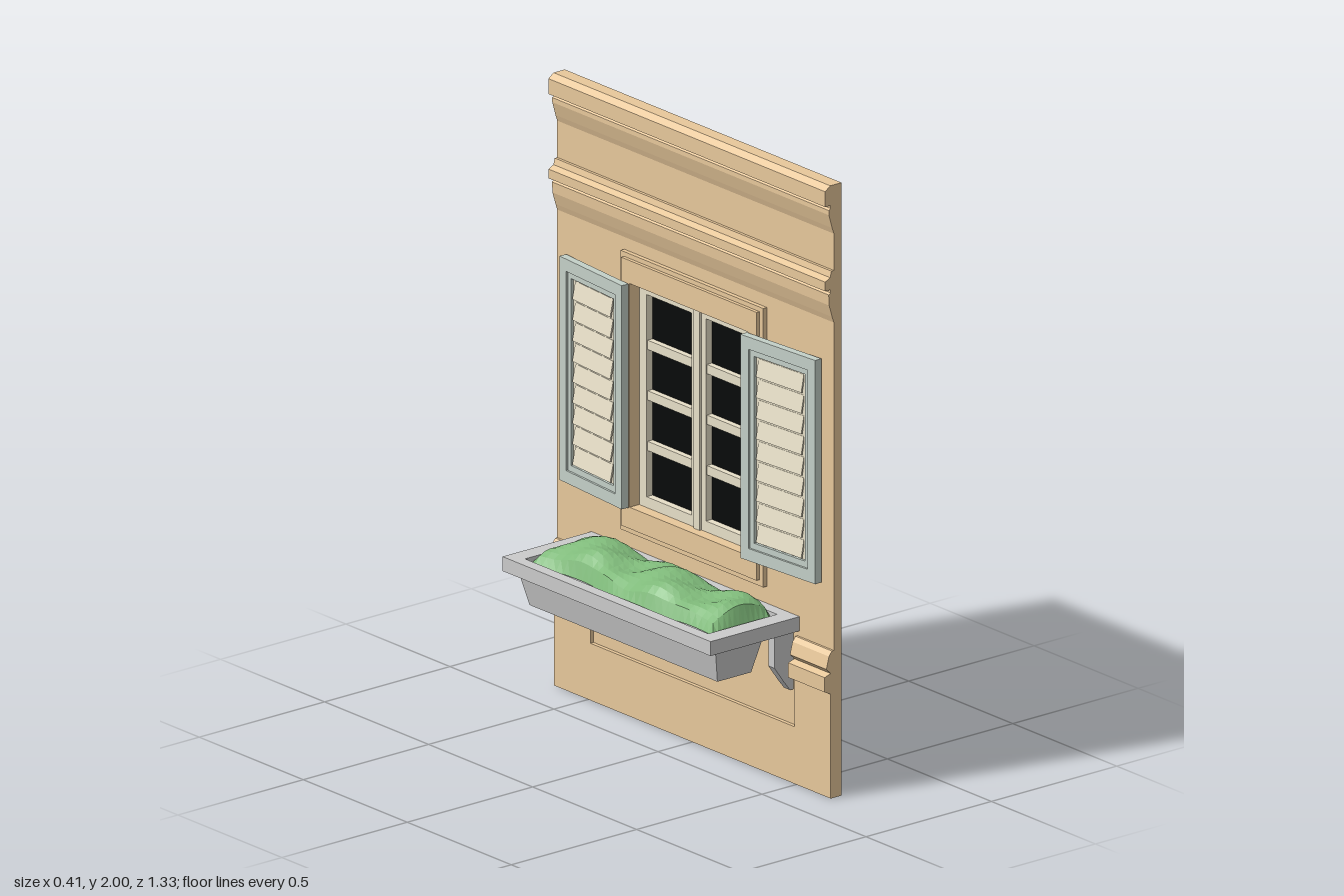
import * as THREE from 'three';

const mat = (color, extra = {}) => {
  const m = new THREE.MeshStandardMaterial(extra);
  m.color.set(color);
  return m;
};
const plaster = mat(0xe8c89b);
const stone = mat(0xcccccc);
const cream = mat(0xe8e0c8);
const paint = mat(0xc4d0c8);
const dark = mat(0x080a0a);
const leaf = mat(0x7fba7a, { side: THREE.DoubleSide, flatShading: true });

function add(parent, name, geometry, material) {
  const mesh = new THREE.Mesh(geometry, material);
  mesh.name = name;
  parent.add(mesh);
  return mesh;
}

// Box given by its limits on each axis
function box(parent, name, material, x0, x1, y0, y1, z0, z1) {
  const g = new THREE.BoxGeometry(x1 - x0, y1 - y0, z1 - z0);
  g.translate((x0 + x1) / 2, (y0 + y1) / 2, (z0 + z1) / 2);
  return add(parent, name, g, material);
}

// x-y outline run along z
function molding(parent, name, material, points, z0, z1) {
  const shape = new THREE.Shape(points.map(([x, y]) => new THREE.Vector2(x, y)));
  const g = new THREE.ExtrudeGeometry(shape, { depth: z1 - z0, bevelEnabled: false });
  g.translate(0, 0, z0);
  return add(parent, name, g, material);
}

function rect(Type, w, y0, y1) {
  const s = new Type();
  s.moveTo(-w, y0);
  s.lineTo(w, y0);
  s.lineTo(w, y1);
  s.lineTo(-w, y1);
  s.closePath();
  return s;
}

// Upright rectangular ring: outer and inner = [half width, bottom, top], thickness along x
function ring(parent, name, material, outer, inner, x0, x1) {
  const shape = rect(THREE.Shape, ...outer);
  shape.holes.push(rect(THREE.Path, ...inner));
  const g = new THREE.ExtrudeGeometry(shape, { depth: x1 - x0, bevelEnabled: false });
  g.rotateY(Math.PI / 2);
  g.translate(x0, 0, 0);
  return add(parent, name, g, material);
}

function makeWall(root) {
  const W = 0.665;
  ring(root, 'wall', plaster, [W, 0, 2], [0.32, 0.64, 1.46], 0.15, 0.18);
  molding(root, 'cornice', plaster, [[0.15, 1.84], [0.143, 1.86], [0.13, 1.905], [0.13, 1.92],
    [0.137, 1.925], [0.137, 1.935], [0.115, 1.935], [0.115, 1.985], [0.135, 2], [0.15, 2]], -W, W);
  molding(root, 'stringCourse', plaster, [[0.15, 1.55], [0.143, 1.57], [0.131, 1.61], [0.129, 1.645],
    [0.137, 1.65], [0.137, 1.66], [0.115, 1.66], [0.115, 1.69], [0.135, 1.7], [0.14, 1.72], [0.15, 1.72]], -W, W);
  // Plinth and its ledge stop either side of a shallow recess
  box(root, 'plinth', plaster, 0.137, 0.15, 0, 0.186, -W, W);
  const ledge = [[0.15, 0.186], [0.137, 0.186], [0.137, 0.34], [0.113, 0.352], [0.113, 0.4],
    [0.137, 0.408], [0.12, 0.425], [0.13, 0.465], [0.142, 0.48], [0.15, 0.48]];
  molding(root, 'plinthLedgeRight', plaster, ledge, -W, -0.49);
  molding(root, 'plinthLedgeLeft', plaster, ledge, 0.49, W);
}

function makeWindow(root) {
  const g = new THREE.Group();
  g.name = 'window';
  root.add(g);
  ring(g, 'surround', plaster, [0.343, 0.6, 1.51], [0.285, 0.69, 1.42], 0.135, 0.19);
  ring(g, 'surroundBead', plaster, [0.325, 0.62, 1.495], [0.285, 0.69, 1.42], 0.123, 0.135);
  box(g, 'backPanel', plaster, 0.19, 0.2, 0.6, 1.51, -0.343, 0.343);
  box(g, 'glass', dark, 0.186, 0.189, 0.69, 1.42, -0.285, 0.285);
  ring(g, 'sashFrame', cream, [0.285, 0.69, 1.42], [0.25, 0.725, 1.385], 0.162, 0.186);
  box(g, 'mullion', cream, 0.162, 0.186, 0.725, 1.385, -0.035, 0.035);
  box(g, 'mullionCover', cream, 0.154, 0.162, 0.69, 1.42, -0.014, 0.014);
  for (let i = 1; i < 4; i++) {
    const y = 0.725 + i * 0.165;
    for (const s of [-1, 1]) {
      box(g, 'glazingBar', cream, 0.166, 0.186, y - 0.015, y + 0.015, s * 0.1425 - 0.1075, s * 0.1425 + 0.1075);
    }
  }
}

// Louvred shutter opened back almost flat to the wall
function makeShutter(root, side) {
  const hinge = new THREE.Group();
  hinge.name = side > 0 ? 'leftShutter' : 'rightShutter';
  hinge.position.set(0.105, 0, side * 0.285);
  hinge.rotation.y = side * 0.075;
  root.add(hinge);
  const leaf = new THREE.Group();
  leaf.name = 'shutterLeaf';
  leaf.position.z = side * 0.165;
  hinge.add(leaf);
  ring(leaf, 'shutterFrame', paint, [0.165, 0.69, 1.42], [0.13, 0.73, 1.38], -0.013, 0.013);
  ring(leaf, 'shutterBead', paint, [0.13, 0.73, 1.38], [0.112, 0.75, 1.36], -0.006, 0.009);
  box(leaf, 'shutterPanel', cream, 0.003, 0.007, 0.75, 1.36, -0.112, 0.112);
  for (let i = 0; i < 9; i++) {
    const slat = add(leaf, 'slat', new THREE.BoxGeometry(0.005, 0.058, 0.2), cream);
    slat.position.set(-0.002, 0.785 + i * 0.0675, 0);
    slat.rotation.z = -0.2;
  }
}

function makePlanter(root) {
  const g = new THREE.Group();
  g.name = 'flowerBox';
  root.add(g);
  // Rim around the planting bed
  box(g, 'rimFront', stone, -0.205, -0.165, 0.498, 0.545, -0.5, 0.5);
  box(g, 'rimBack', stone, 0.11, 0.15, 0.498, 0.545, -0.5, 0.5);
  box(g, 'rimEnd', stone, -0.165, 0.11, 0.498, 0.545, -0.5, -0.44);
  box(g, 'rimEnd', stone, -0.165, 0.11, 0.498, 0.545, 0.44, 0.5);
  box(g, 'bedFloor', stone, -0.165, 0.11, 0.498, 0.525, -0.44, 0.44);

  // Trough tapering downward
  const trough = new THREE.BoxGeometry(0.19, 0.115, 0.95);
  const p = trough.attributes.position;
  for (let i = 0; i < p.count; i++) {
    if (p.getY(i) < 0) {
      p.setX(i, p.getX(i) * 0.71);
      p.setZ(i, p.getZ(i) * 0.95);
    }
  }
  trough.computeVertexNormals();
  trough.translate(-0.07, 0.4425, 0);
  add(g, 'trough', trough, stone);

  // Wall brackets
  for (const s of [-1, 1]) {
    molding(g, 'bracket', stone, [[0.15, 0.3], [0.137, 0.3], [0.11, 0.335], [0.075, 0.385],
      [0.075, 0.498], [0.15, 0.498]], s * 0.455 - 0.015, s * 0.455 + 0.015);
  }

  // Lumpy planting: flat grid raised into a rounded, wavy mound
  const mound = new THREE.PlaneGeometry(1, 1, 12, 30);
  mound.rotateX(-Math.PI / 2);
  const v = mound.attributes.position;
  for (let i = 0; i < v.count; i++) {
    const u = v.getX(i) * 2, w = v.getZ(i) * 2;
    const dome = Math.pow(Math.max(0, 1 - Math.pow(Math.abs(u), 3)), 0.6)
      * Math.pow(Math.max(0, 1 - Math.pow(Math.abs(w), 10)), 0.5);
    const waves = 0.014 * Math.sin(w * 8 + u * 1.5) + 0.006 * Math.sin(w * 15 - u * 5);
    const front = -0.148 + 0.015 * Math.sin(-w * 5 - 0.9);
    const back = 0.105 + 0.006 * Math.sin(w * 9);
    v.setXYZ(i, front + (back - front) * (u + 1) / 2, 0.53 + dome * (0.072 + waves), w * 0.435);
  }
  mound.computeVertexNormals();
  add(g, 'plants', mound, leaf);
}

export function createModel() {
  const root = new THREE.Group();
  root.name = 'windowWall';
  makeWall(root);
  makeWindow(root);
  for (const side of [-1, 1]) makeShutter(root, side);
  makePlanter(root);
  return root;
}
